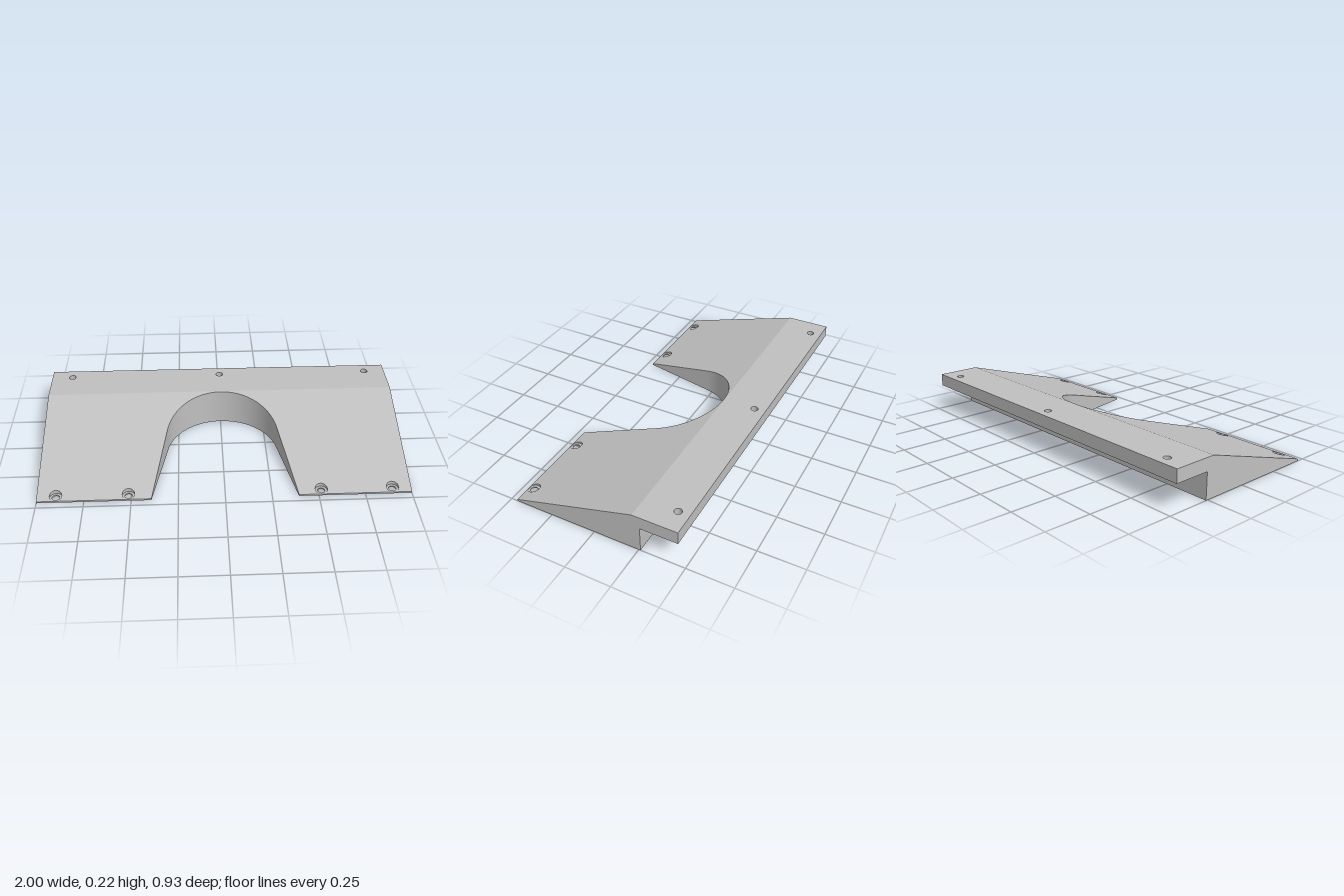
import * as THREE from 'three';
import { mergeGeometries, toCreasedNormals } from 'three/addons/utils/BufferGeometryUtils.js';

// Main dimensions
const FRONT = 0.463, BACK = -0.463, STEP = -0.26, CREASE = -0.22;
const TOP = 0.216, FLANGE = 0.145, LIP = 0.01, FLOOR = 0.008, BLIND = 0.1;
const HOLE_R = 0.02, BORE_R = 0.033;

const topY = (z) => z <= CREASE ? TOP : LIP + (TOP - LIP) * (FRONT - z) / (FRONT - CREASE);
const at = (y) => () => y;

// Points are [x, z]; holes run clockwise so that material lies on their left
function circle(x, z, r) {
  const pts = [];
  for (let i = 0; i < 24; i++) {
    const a = -i / 24 * Math.PI * 2;
    pts.push([x + r * Math.cos(a), Math.min(z + r * Math.sin(a), FRONT - 0.002)]);
  }
  return pts;
}

// Horizontal or sloping face with holes
function sheet(outline, holes, yAt, facesUp) {
  const vec = (pts) => pts.map(([x, z]) => new THREE.Vector2(x, z));
  const shape = new THREE.Shape(vec(outline));
  holes.forEach((h) => shape.holes.push(new THREE.Path(vec(h))));
  const flat = new THREE.ShapeGeometry(shape);
  const p = flat.attributes.position;
  for (let i = 0; i < p.count; i++) {
    const z = p.getY(i);
    p.setXYZ(i, p.getX(i), yAt(z), z);
  }
  if (facesUp) flat.index.array.reverse();
  const g = flat.toNonIndexed();
  g.deleteAttribute('normal');
  g.deleteAttribute('uv');
  return g;
}

// Vertical strip along a path, facing to the right of its direction
function wall(path, low, high, closed = false) {
  const v = [];
  const pts = closed ? [...path, path[0]] : path;
  for (let i = 0; i + 1 < pts.length; i++) {
    const [a, b] = [pts[i], pts[i + 1]];
    const a0 = [a[0], low(a[1]), a[1]], a1 = [a[0], high(a[1]), a[1]];
    const b0 = [b[0], low(b[1]), b[1]], b1 = [b[0], high(b[1]), b[1]];
    v.push(...a0, ...b1, ...b0, ...a0, ...a1, ...b1);
  }
  const g = new THREE.BufferGeometry();
  g.setAttribute('position', new THREE.Float32BufferAttribute(v, 3));
  return g;
}

export function createModel() {
  const group = new THREE.Group();
  group.name = 'rampBracket';
  const grey = new THREE.MeshStandardMaterial({ color: 0xc0c0c0 });
  grey.name = 'plainGrey';
  const add = (name, parts) => {
    const mesh = new THREE.Mesh(toCreasedNormals(mergeGeometries(parts), 0.5), grey);
    mesh.name = name;
    group.add(mesh);
  };

  // Arched notch: a round end with two tangent flared sides
  const r = 0.315, cz = 0.1, flare = 0.194;
  const notch = [[0.393, FRONT]];
  for (let i = 0; i <= 48; i++) {
    const a = flare - i / 48 * (Math.PI + 2 * flare) - 2 * flare * (1 - i / 48) + 2 * flare * (i / 48);
    notch.push([r * Math.cos(a), cz + r * Math.sin(a)]);
  }
  notch.push([-0.393, FRONT]);
  const plan = (back) => [[-1, back], [1, back], [1, FRONT], ...notch, [-1, FRONT]];
  const strip = (z0, z1) => [[-1, z0], [1, z0], [1, z1], [-1, z1]];

  // Hole positions
  const columns = [-0.9, -0.515, 0.515, 0.9];
  const spots = columns.map((x) => [x, 0.432]);
  const bores = spots.map(([x, z]) => circle(x, z, BORE_R));
  const screwHoles = spots.map(([x, z]) => circle(x, z, HOLE_R));
  const blindHoles = columns.map((x) => circle(x, -0.17, HOLE_R));
  const flangeHoles = [-0.88, 0, 0.88].map((x) => circle(x, -0.4, HOLE_R));

  // Sloping ramp and block
  const side = [[1, STEP], [1, CREASE], [1, FRONT]];
  const mirror = (pts) => pts.map(([x, z]) => [-x, z]).reverse();
  add('rampBody', [
    sheet(plan(CREASE), bores, topY, true),
    sheet(plan(STEP), [...screwHoles, ...blindHoles], at(0), false),
    wall(side, at(0), topY),
    wall(mirror(side), at(0), topY),
    wall([[1, FRONT], notch[0]], at(0), topY),
    wall([[-0.393, FRONT], [-1, FRONT]], at(0), topY),
    wall([[-1, STEP], [1, STEP]], at(0), at(FLANGE)),
  ]);
  add('archedNotch', [wall(notch, at(0), topY)]);

  // Overhanging rear flange
  const flangeSide = [[1, BACK], [1, STEP]];
  add('rearFlange', [
    sheet(strip(BACK, CREASE), flangeHoles, at(TOP), true),
    sheet(strip(BACK, STEP), flangeHoles, at(FLANGE), false),
    wall(flangeSide, at(FLANGE), at(TOP)),
    wall(mirror(flangeSide), at(FLANGE), at(TOP)),
    wall([[-1, BACK], [1, BACK]], at(FLANGE), at(TOP)),
  ]);

  // Hole linings
  add('flangeHoles', flangeHoles.map((h) => wall(h, at(FLANGE), at(TOP), true)));
  add('counterboredHoles', bores.flatMap((b, i) => [
    wall(b, at(FLOOR), topY, true),
    sheet(b, [screwHoles[i]], at(FLOOR), true),
    wall(screwHoles[i], at(0), at(FLOOR), true),
  ]));
  add('blindHoles', blindHoles.flatMap((h) => [
    wall(h, at(0), at(BLIND), true),
    sheet(h, [], at(BLIND), false),
  ]));
  return group;
}
